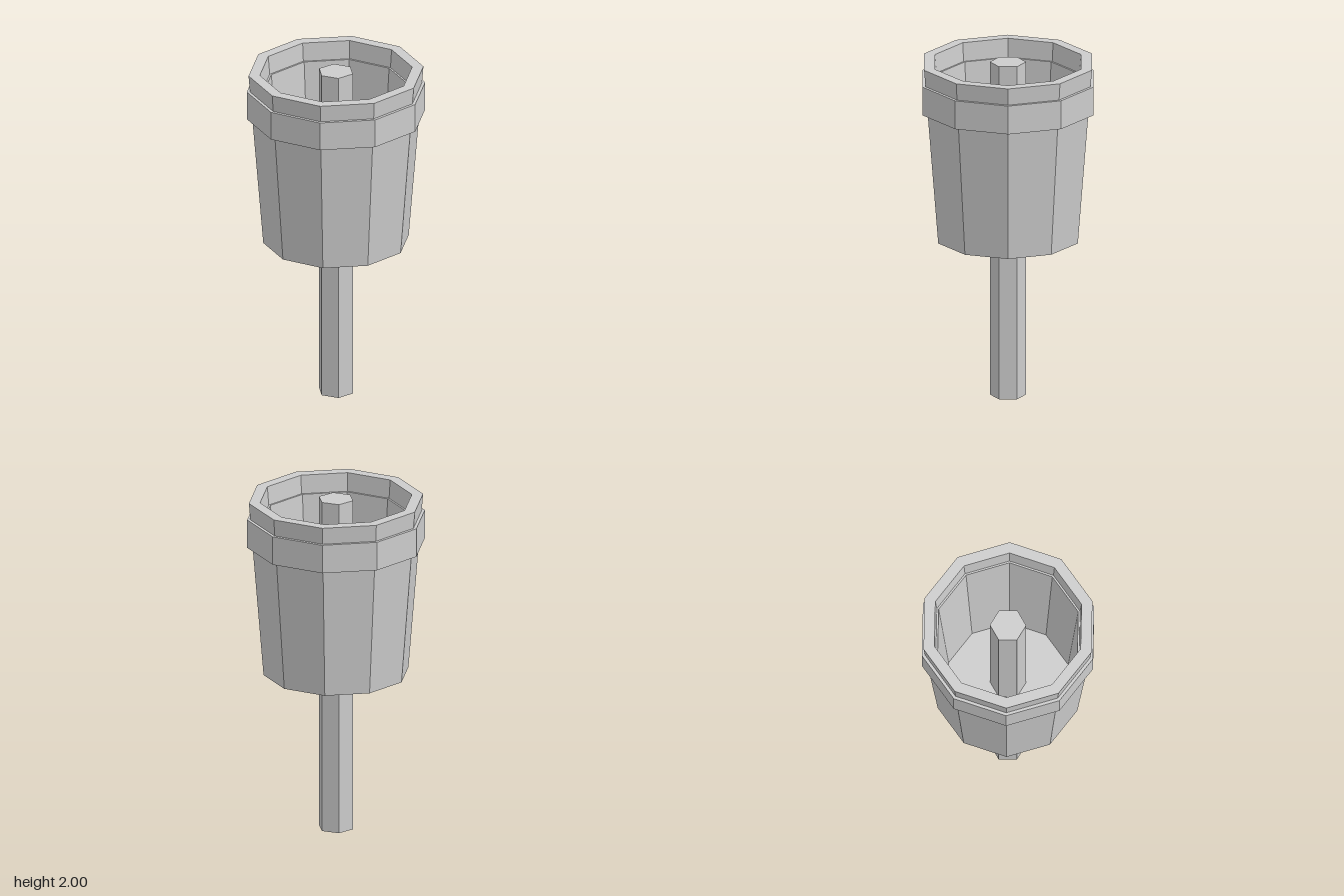
import * as THREE from 'three';

const SIDES = 10;

// Faceted ring or shell turned from [radius, y] points, with a corner on the x axis
function facetedLathe(points) {
  const profile = points.map(([r, y]) => new THREE.Vector2(r, y));
  const geometry = new THREE.LatheGeometry(profile, SIDES, Math.PI / SIDES).toNonIndexed();
  geometry.computeVertexNormals();
  return geometry;
}

export function createModel() {
  const model = new THREE.Group();
  const grey = new THREE.MeshStandardMaterial({ color: 0xcccccc });
  grey.name = 'light grey';

  const add = (name, geometry) => {
    const mesh = new THREE.Mesh(geometry, grey);
    mesh.name = name;
    model.add(mesh);
    return mesh;
  };

  // Tapered hollow cup: outside wall, rim, inner step, inside wall and floor
  add('cup', facetedLathe([
    [0, 0.95], [0.42, 0.95], [0.505, 2],
    [0.44, 2], [0.431, 1.89], [0.42, 1.89],
    [0.36, 1.05], [0, 1.05],
  ]));

  // Raised band below the rim
  add('band', facetedLathe([
    [0.47, 1.73], [0.515, 1.73], [0.515, 1.9], [0.48, 1.9],
  ]));

  // Hexagonal rod running from the ground up to rim height
  const rodGeometry = new THREE.CylinderGeometry(0.104, 0.104, 2, 6).toNonIndexed();
  rodGeometry.computeVertexNormals();
  add('rod', rodGeometry).position.y = 1;

  return model;
}
